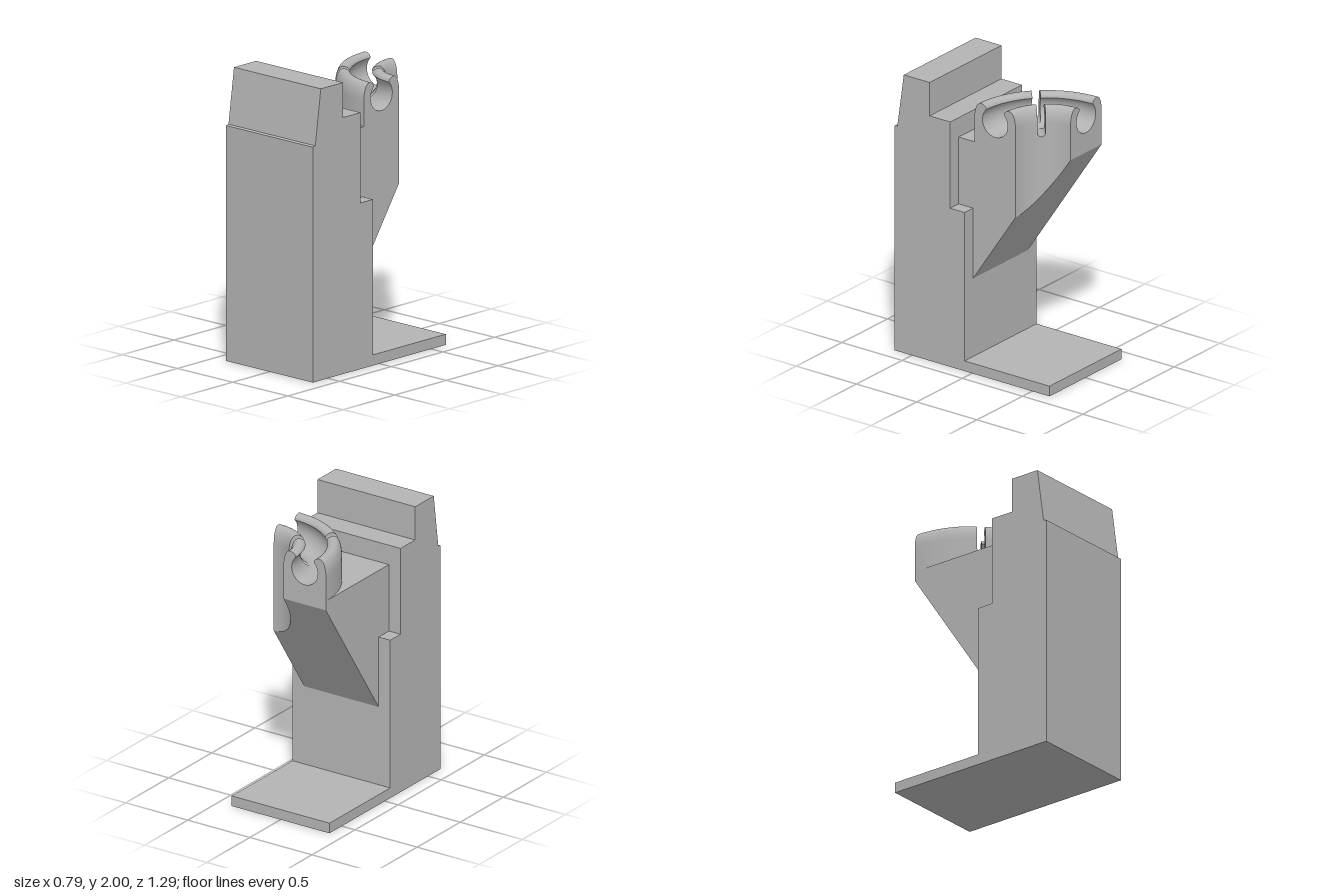
import * as THREE from 'three';
import { toCreasedNormals } from 'three/addons/utils/BufferGeometryUtils.js';

const CX = 0.3, CZ = -0.55;          // axis of the curved clip
const MID = 0.43;                    // radius of the channel centre line
const SHELF = 1.62;                  // top of the bracket

// Upright with a stepped back and a flat foot, one side profile (z, y)
function bodyGeometry() {
  const profile = [
    [0.643, 0], [0.643, 1.615], [0.62, 1.62], [0.567, 2], [0.352, 2], [0.352, 1.76],
    [0.182, 1.76], [0.182, 1.14], [0.062, 1.14], [0.062, 0.073], [-0.643, 0.073], [-0.643, 0],
  ].map(([z, y]) => new THREE.Vector2(z, y));
  const width = 0.787;
  return new THREE.ExtrudeGeometry(new THREE.Shape(profile), { depth: width, bevelEnabled: false })
    .translate(0, 0, -width / 2).rotateY(-Math.PI / 2);
}

// Bracket: plan outline with a scooped corner, underside sheared to a slope
function bracketGeometry() {
  const plan = new THREE.Shape();
  plan.moveTo(-0.3, -0.25);
  plan.lineTo(0.3, -0.25);
  plan.lineTo(CX, -CZ - 0.26);
  plan.absarc(CX, -CZ, 0.26, -Math.PI / 2, -Math.PI, true);
  plan.lineTo(-0.3, -CZ);
  plan.closePath();
  const geo = new THREE.ExtrudeGeometry(plan, { depth: 1, bevelEnabled: false, curveSegments: 32 })
    .rotateX(-Math.PI / 2);
  const pos = geo.attributes.position;
  for (let i = 0; i < pos.count; i++) {
    const slope = 0.635 + (0.062 - pos.getZ(i)) * 1.5;
    pos.setY(i, pos.getY(i) > 0.5 ? SHELF : slope);
  }
  return toCreasedNormals(geo, 0.5);
}

// Clip section as levels: height, channel-side and wall-side offsets from MID
function clipLevels() {
  const wall = (y) => 0.12 + 0.05 * Math.sqrt(Math.max(0, 1 - (Math.max(0, y - 1.8) / 0.11) ** 2));
  const levels = [{ y: SHELF, inner: 0, outer: 0.17 }];
  for (let i = 0; i <= 16; i++) {               // round channel
    const a = (i / 16) * 2.38;
    const y = 1.8 - 0.105 * Math.cos(a);
    levels.push({ y, inner: 0.105 * Math.sin(a), outer: wall(y) });
  }
  for (let i = 1; i <= 8; i++) {                // rounded lip
    const b = (i / 8) * Math.PI / 2;
    const y = 1.876 + 0.034 * Math.sin(b);
    levels.push({ y, inner: 0.12 - 0.048 * Math.cos(b), outer: i === 8 ? 0.12 : wall(y) });
  }
  return levels;
}

// Half width of the round-bottomed slot across the clip at height y
function slotHalfWidth(y) {
  const w = 0.028, bottom = 1.7;
  if (y <= bottom) return 0;
  return y >= bottom + w ? w : Math.sqrt(w * w - (bottom + w - y) ** 2);
}

// Quarter-ring clip: two lips, each swept from an end to the slot at 45 degrees
function clipGeometry() {
  const levels = clipLevels(), steps = 20, out = [];
  for (const side of [1, -1]) for (const mirrored of [false, true]) {
    const flip = (side < 0) !== mirrored;
    const point = (j, key, i) => {
      const { y } = levels[j];
      const r = MID + side * levels[j][key];
      let phi = (i / steps) * (Math.PI / 4 - Math.asin(slotHalfWidth(y) / r));
      if (mirrored) phi = Math.PI / 2 - phi;
      return [CX - r * Math.sin(phi), y, CZ + r * Math.cos(phi)];
    };
    const quad = (a, b, c, d) => {
      if (flip) out.push(...a, ...c, ...b, ...a, ...d, ...c);
      else out.push(...a, ...b, ...c, ...a, ...c, ...d);
    };
    for (let j = 0; j < levels.length - 1; j++) {
      for (let i = 0; i < steps; i++) {
        quad(point(j, 'outer', i), point(j + 1, 'outer', i),
          point(j + 1, 'outer', i + 1), point(j, 'outer', i + 1));
        if (j > 0) quad(point(j, 'inner', i), point(j, 'inner', i + 1),
          point(j + 1, 'inner', i + 1), point(j + 1, 'inner', i));
      }
      // open end and slot wall
      quad(point(j, 'inner', 0), point(j + 1, 'inner', 0), point(j + 1, 'outer', 0), point(j, 'outer', 0));
      quad(point(j, 'outer', steps), point(j + 1, 'outer', steps),
        point(j + 1, 'inner', steps), point(j, 'inner', steps));
    }
  }
  const geo = new THREE.BufferGeometry();
  geo.setAttribute('position', new THREE.Float32BufferAttribute(out, 3));
  return toCreasedNormals(geo, 0.7);
}

export function createModel() {
  const grey = new THREE.MeshStandardMaterial({ color: 0xb3b3b3 });
  grey.name = 'grey';
  const group = new THREE.Group();
  group.name = 'clipStand';
  const add = (name, geometry) => {
    const mesh = new THREE.Mesh(geometry, grey);
    mesh.name = name;
    group.add(mesh);
  };
  add('body', bodyGeometry());
  add('bracket', bracketGeometry());
  add('curvedClip', clipGeometry());
  return group;
}
